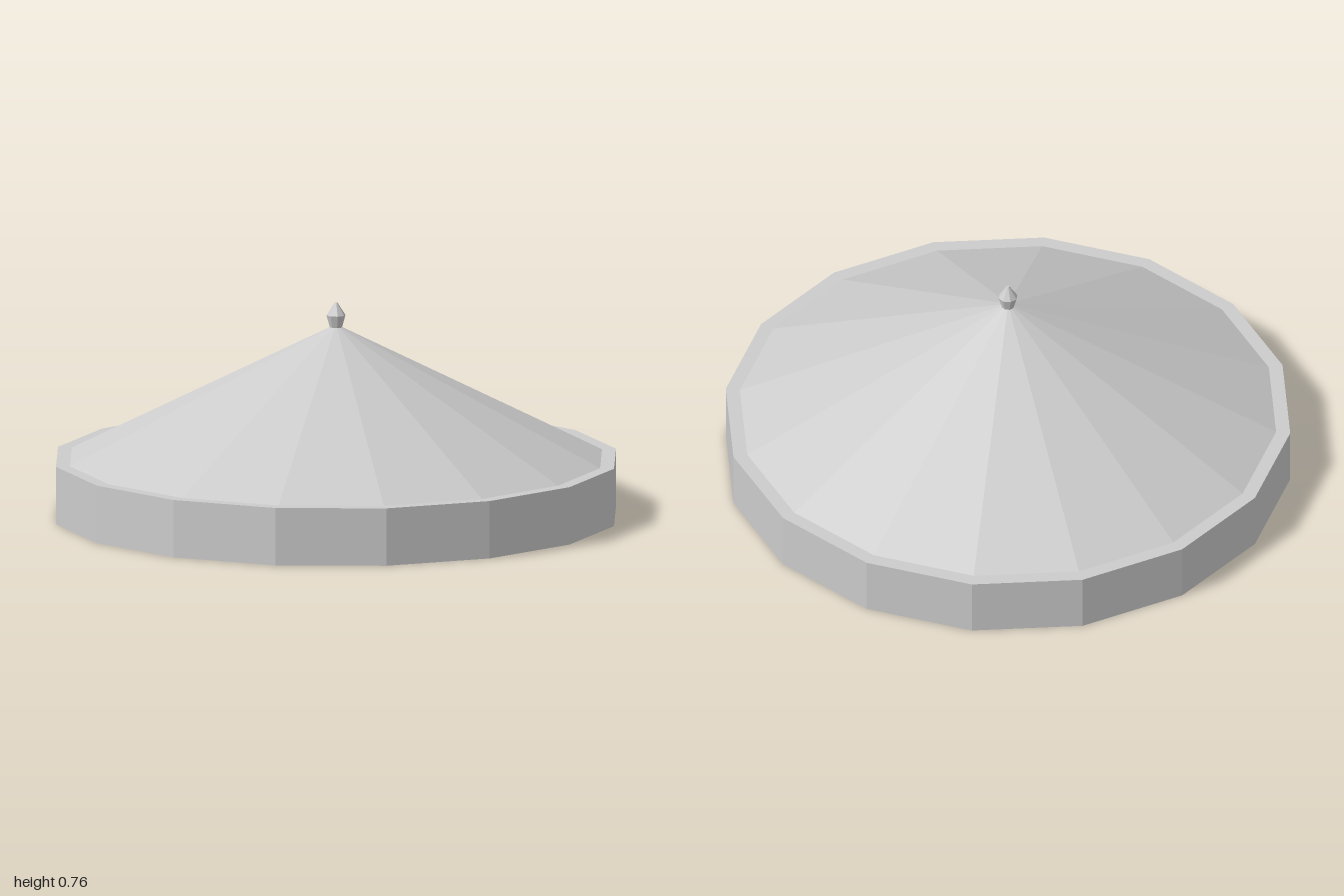
import * as THREE from 'three';

const material = new THREE.MeshStandardMaterial({ color: 0xcccccc, flatShading: true });

// Faceted solid of revolution; profile runs so the outside faces outward
function turned(name, profile, sides, phase = 0) {
  const points = profile.map(([r, y]) => new THREE.Vector2(r, y));
  const mesh = new THREE.Mesh(new THREE.LatheGeometry(points, sides, phase), material);
  mesh.name = name;
  return mesh;
}

export function createModel() {
  const model = new THREE.Group();
  model.name = 'pavilionRoof';
  const sides = 16;

  // Rim band with a shallow recess underneath and a flat ledge on top
  model.add(turned('rimBand', [
    [0, 0.04], [0.963, 0.04], [0.963, 0], [1, 0], [1, 0.205], [0.95, 0.205],
  ], sides));

  // Faceted conical roof
  model.add(turned('coneRoof', [[0.95, 0.205], [0, 0.683]], sides));

  // Small eight-sided finial at the peak
  model.add(turned('finial', [
    [0, 0.672], [0.022, 0.672], [0.034, 0.715], [0.005, 0.76], [0, 0.76],
  ], 8, Math.PI / 8));

  return model;
}
